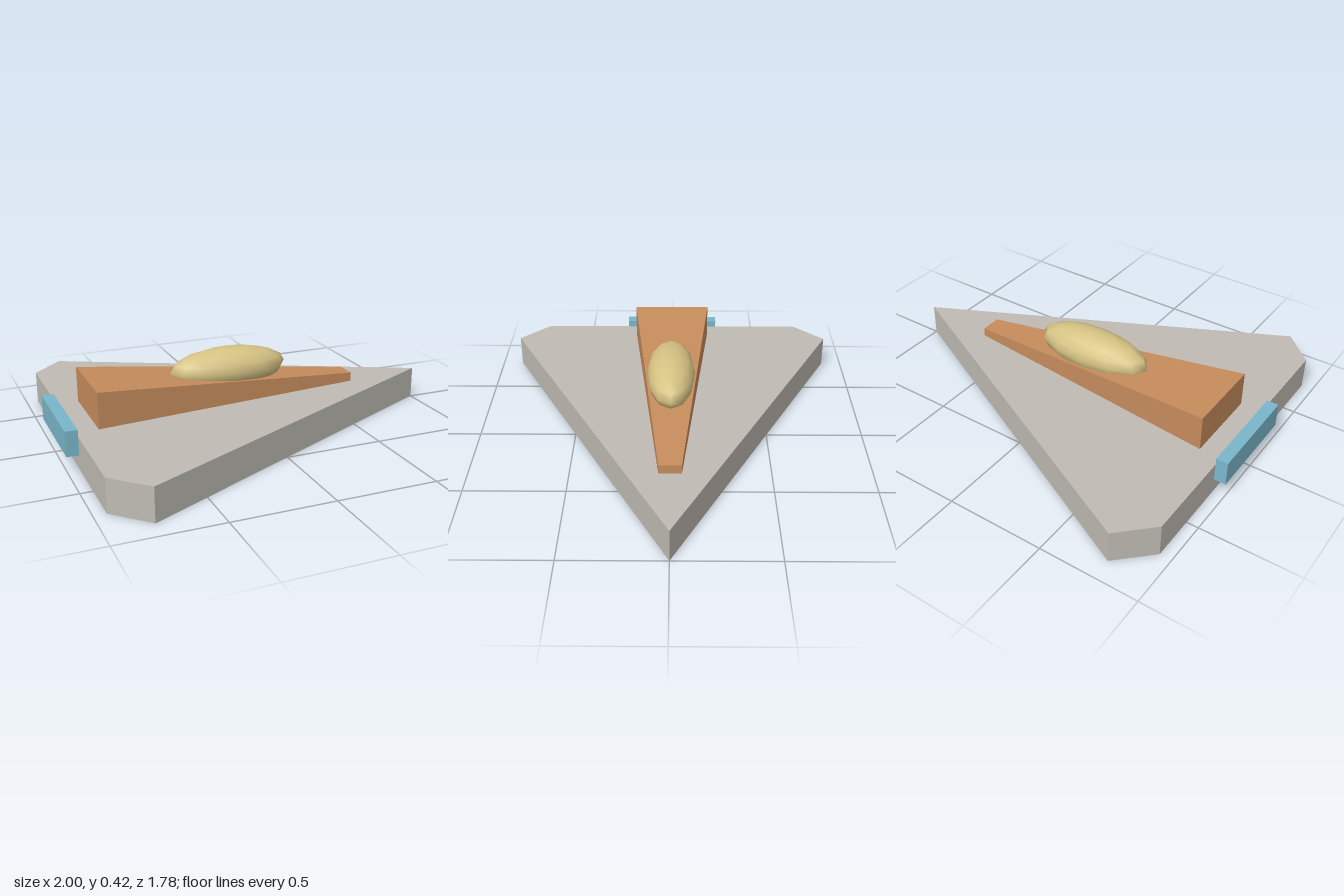
import * as THREE from 'three';

const material = (name, color) => {
  const m = new THREE.MeshStandardMaterial({ color });
  m.name = name;
  return m;
};

// Flat plan outline [x, z] raised between two heights
function slab(outline, bottom, top) {
  const shape = new THREE.Shape(outline.map(([x, z]) => new THREE.Vector2(x, -z)));
  const geometry = new THREE.ExtrudeGeometry(shape, { depth: top - bottom, bevelEnabled: false });
  return geometry.rotateX(-Math.PI / 2).translate(0, bottom, 0);
}

export function createModel() {
  const group = new THREE.Group();
  group.name = 'wedgeCraft';
  const add = (name, geometry, mat) => {
    const mesh = new THREE.Mesh(geometry, mat);
    mesh.name = name;
    group.add(mesh);
    return mesh;
  };

  // Arrowhead hull with clipped rear corners
  const hull = [[1, 0], [-0.78, -0.89], [-0.94, -0.73], [-0.94, 0.73], [-0.78, 0.89]];
  add('hull', slab(hull, 0, 0.165), material('warm grey', 0xbfbbb3));

  // Tapered spine, its top sloping down towards the nose
  const back = -0.83, nose = 0.58, base = 0.165;
  const spine = slab([[nose, 0.055], [nose, -0.055], [back, -0.207], [back, 0.207]], base, 0.345);
  const p = spine.attributes.position;
  for (let i = 0; i < p.count; i++) {
    if (p.getY(i) > base + 0.01 && p.getX(i) > 0) p.setY(i, 0.21);
  }
  spine.computeVertexNormals();
  add('spine', spine, material('copper orange', 0xc68c5c));

  // Stretched canopy dome
  const canopy = add('canopy', new THREE.SphereGeometry(1, 12, 8), material('pale gold', 0xd6c384));
  canopy.scale.set(0.31, 0.105, 0.125);
  canopy.position.set(-0.1, 0.315, 0);

  // Engine bar across the stern
  const engine = add('engineBar', new THREE.BoxGeometry(0.06, 0.125, 0.52), material('engine blue', 0x7ab6ca));
  engine.position.set(-0.97, 0.1375, 0);

  return group;
}
